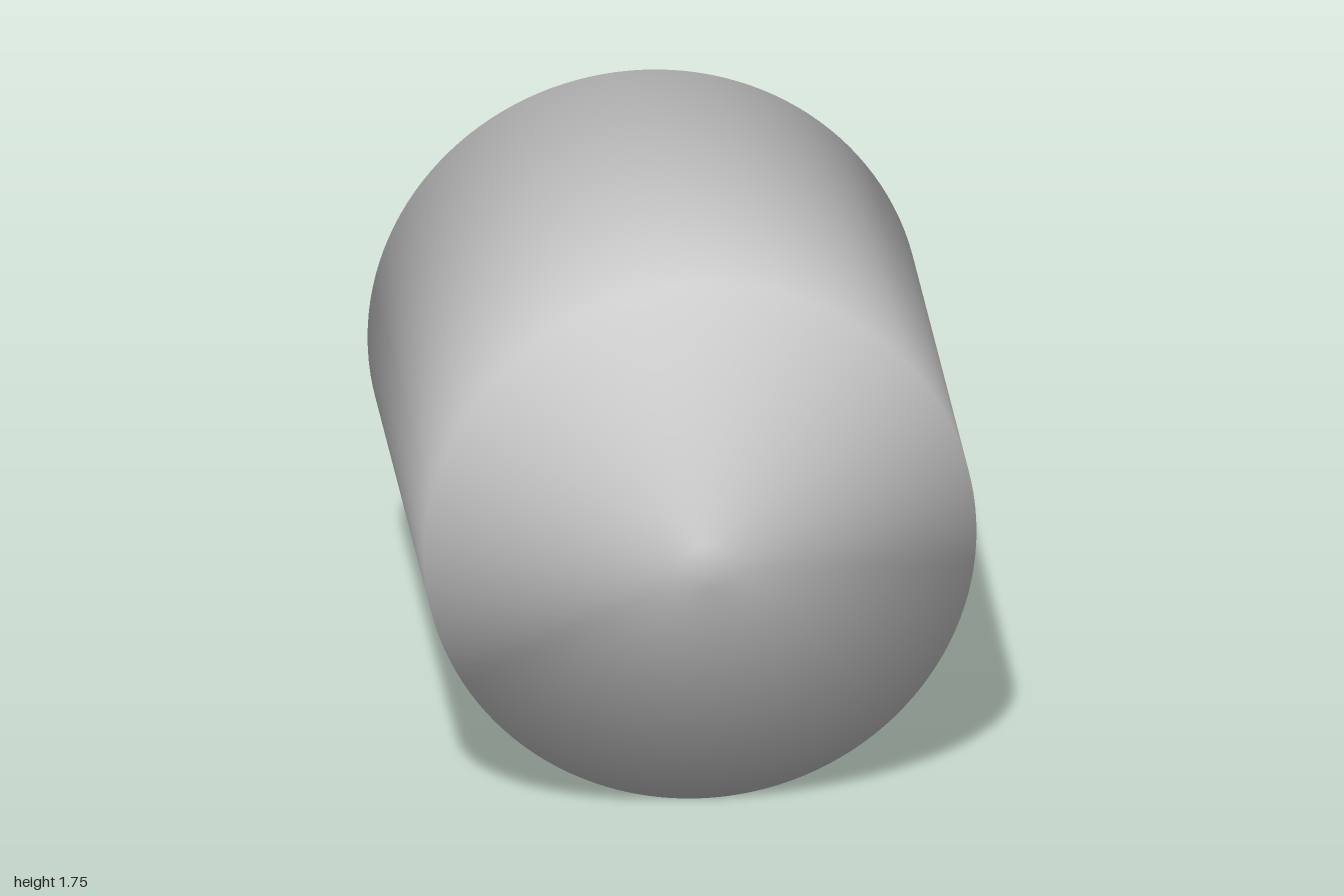
import * as THREE from 'three';

const RADIUS = 0.873;

export function createModel() {
  const model = new THREE.Group();

  // Closed drum with a shallow conical nose and a small flat tip,
  // smooth normals across every edge. Profile runs from back to front.
  const profile = [
    [0, -1],
    [RADIUS, -1],
    [RADIUS, 0.78],
    [0.075, 1],
    [0, 1],
  ].map(([r, z]) => new THREE.Vector2(r, z));

  const geometry = new THREE.LatheGeometry(profile, 128);
  geometry.rotateX(Math.PI / 2); // lathe axis to +z
  geometry.translate(0, RADIUS, 0);

  const body = new THREE.Mesh(geometry, new THREE.MeshStandardMaterial({ color: 0xcccccc }));
  body.name = 'conicalNosedCylinder';
  model.add(body);

  return model;
}
